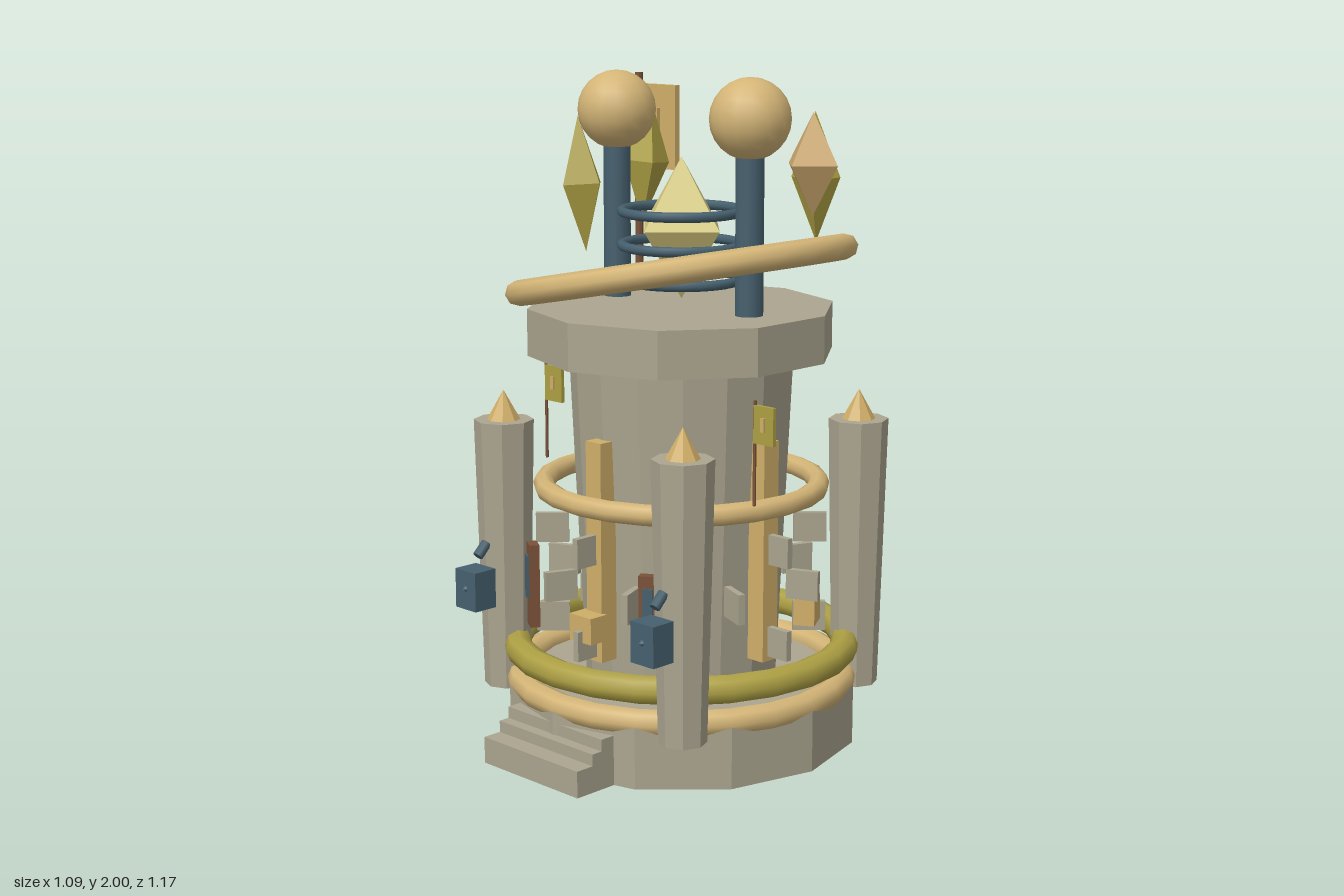
import * as THREE from 'three';

const mat = (color, flatShading = false) => new THREE.MeshStandardMaterial({ color, flatShading });
const stone = mat(0xaba58f, true);
const gold = mat(0xd4b577);
const goldFlat = mat(0xcfae68, true);
const olive = mat(0xada044);
const oliveFlat = mat(0xada044, true);
const pale = mat(0xd3c77c, true);
const blue = mat(0x46606e);
const blueFlat = mat(0x46606e, true);
const wood = mat(0x7a5238, true);

export function createModel() {
  const model = new THREE.Group();
  const tower = new THREE.Group();
  tower.name = 'tower';
  tower.position.z = -0.04;
  model.add(tower);

  const add = (name, geometry, material, x = 0, y = 0, z = 0, parent = tower) => {
    const mesh = new THREE.Mesh(geometry, material);
    mesh.name = name;
    mesh.position.set(x, y, z);
    parent.add(mesh);
    return mesh;
  };
  const box = (name, w, h, d, material, x, y, z, parent) =>
    add(name, new THREE.BoxGeometry(w, h, d), material, x, y, z, parent);
  const column = (name, rTop, rBottom, y0, y1, sides, material, x = 0, z = 0) =>
    add(name, new THREE.CylinderGeometry(rTop, rBottom, y1 - y0, sides), material, x, (y0 + y1) / 2, z);
  // horizontal ring
  const ring = (name, radius, tube, y, material, segments = 24) =>
    add(name, new THREE.TorusGeometry(radius, tube, 8, segments).rotateX(Math.PI / 2), material, 0, y, 0);
  // stretched four-sided crystal
  const crystal = (name, r, halfHeight, material, x, y, z) =>
    add(name, new THREE.OctahedronGeometry(1).scale(r, halfHeight, r), material, x, y, z);
  // group turned about the tower axis, so its +z points outward
  const spoke = (name, angle) => {
    const g = new THREE.Group();
    g.name = name;
    g.rotation.y = angle;
    tower.add(g);
    return g;
  };

  // Base, body and cap
  column('base', 0.535, 0.535, 0, 0.19, 12, stone);
  column('body', 0.335, 0.29, 0.19, 1.18, 16, stone);
  column('cap', 0.46, 0.46, 1.18, 1.32, 10, stone);

  // Steps at the front
  [[0, 0.08, 0.625], [0.08, 0.115, 0.565], [0.115, 0.15, 0.53]].forEach(([y0, y1, z]) =>
    box('step', 0.4, y1 - y0, z - 0.42, stone, 0, (y0 + y1) / 2, (z + 0.42) / 2));

  // Rings around the tower
  ring('baseRing', 0.497, 0.04, 0.19, gold);
  ring('lowerRing', 0.502, 0.043, 0.29, olive);
  ring('middleRing', 0.415, 0.032, 0.78, gold);
  ring('tiltedRing', 0.49, 0.038, 1.425, gold).rotation.z = 0.2;

  // Upright bars on the four sides
  for (let i = 0; i < 4; i++) {
    box('bar', 0.062, 0.66, 0.06, goldFlat, 0, 0.63, 0.335, spoke('barSide', i * Math.PI / 2));
  }

  // Three staggered rows of fins
  [0.36, 0.5, 0.64].forEach((y, row) => {
    for (let i = 0; i < 8; i++) {
      box('fin', 0.02, 0.09, 0.1, stone, 0, y, 0.39, spoke('finSide', (i + (row % 2) / 2) * Math.PI / 4));
    }
  });

  // Gold chests and floating crystals, three of each
  for (let i = 0; i < 3; i++) {
    const a = i * Math.PI * 2 / 3;
    box('chest', 0.09, 0.08, 0.064, goldFlat, 0, 0.41, 0.39, spoke('chestSide', a));
    const c = crystal('floatingCrystal', 0.072, 0.19, oliveFlat, 0.4 * Math.sin(a), 1.71, 0.4 * Math.cos(a));
    c.rotation.set(0, a, 0.08);
  }
  crystal('largeFloatingCrystal', 0.093, 0.15, mat(0xc9a66c, true), 0.37, 1.75, -0.16);

  // Corner pillars with pointed tips
  for (const x of [-0.375, 0.375]) {
    for (const z of [-0.378, 0.378]) {
      column('pillar', 0.09, 0.07, 0.15, 0.975, 8, stone, x, z);
      add('pillarTip', new THREE.ConeGeometry(0.05, 0.09, 8), goldFlat, x, 1.02, z);
    }
  }

  for (const side of [-1, 1]) {
    // Framed boards beside the front pillars
    const board = spoke('board', side * 0.57);
    box('boardFrame', 0.055, 0.255, 0.03, wood, 0, 0.488, 0.455, board);
    box('boardPanel', 0.03, 0.13, 0.012, blueFlat, 0, 0.515, 0.472, board);

    // Boxes on the front pillars with a knob and a tilted peg
    const x = side * 0.375;
    box('pillarBox', 0.09, 0.12, 0.08, blueFlat, x, 0.475, 0.5);
    add('boxKnob', new THREE.ConeGeometry(0.01, 0.012, 8).rotateX(Math.PI / 2), blue, x, 0.48, 0.545);
    const peg = add('peg', new THREE.CylinderGeometry(0.016, 0.016, 0.05, 8), blue, x, 0.588, 0.472);
    peg.rotation.x = -0.8;

    // Blue posts topped with globes
    column('post', 0.042, 0.042, 1.32, 1.82, 12, blue, side * 0.272);
    add('globe', new THREE.SphereGeometry(0.118, 16, 12), gold, side * 0.272, 1.883, 0);

    // Small flags at the sides
    const fx = side * 0.435;
    column('smallFlagPole', 0.005, 0.005, 0.81, 1.115, 6, wood, fx, 0.15);
    box('smallFlag', 0.075, 0.11, 0.012, oliveFlat, fx + 0.037, 1.048, 0.15);
    box('smallFlagPatch', 0.014, 0.04, 0.02, goldFlat, fx + 0.037, 1.05, 0.152);
  }

  // Central crystal inside stacked hoops
  crystal('centralCrystal', 0.155, 0.21, pale, 0, 1.55, 0);
  for (const y of [1.4, 1.5, 1.6]) ring('hoop', 0.176, 0.015, y, blue);

  // Tall flag
  column('flagPole', 0.013, 0.013, 1.26, 1.97, 8, wood, -0.53, -0.348);
  box('flag', 0.165, 0.265, 0.02, goldFlat, -0.442, 1.803, -0.348);
  box('flagPatch', 0.03, 0.095, 0.014, goldFlat, -0.44, 1.815, -0.332);

  return model;
}
